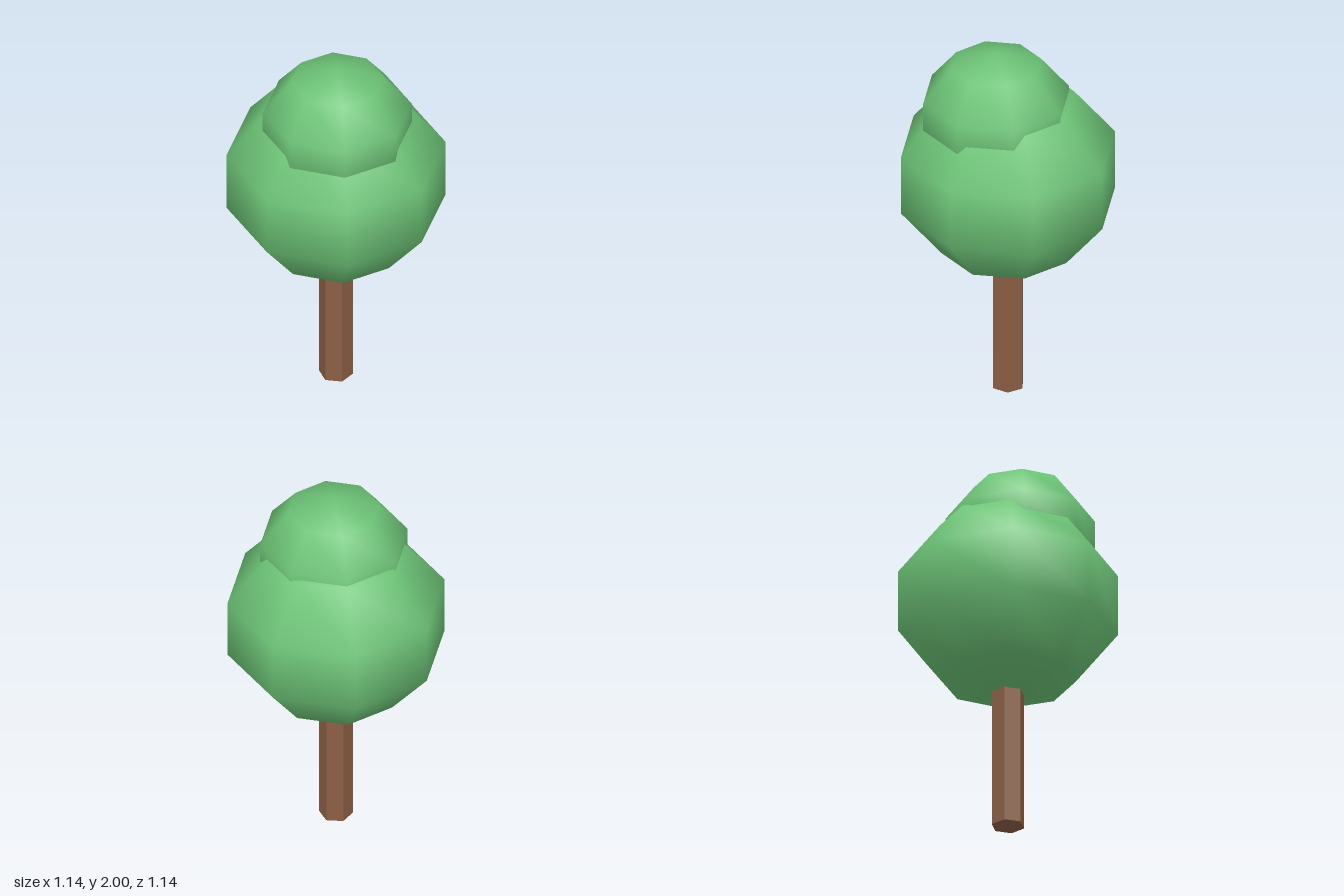
import * as THREE from 'three';

export function createModel() {
  const bark = new THREE.MeshStandardMaterial({ name: 'bark brown', color: 0x8b5f45, flatShading: true });
  const leaf = new THREE.MeshStandardMaterial({ name: 'leaf green', color: 0x6cc276 });
  const tree = new THREE.Group();
  tree.name = 'tree';

  // Straight hexagonal trunk, running up into the foliage
  const trunk = new THREE.Mesh(new THREE.CylinderGeometry(0.088, 0.088, 0.9, 6), bark);
  trunk.name = 'trunk';
  trunk.position.y = 0.45;
  tree.add(trunk);

  // Slightly squashed, smooth-shaded eight-sided ball
  const addFoliage = (name, radius, x, y, z) => {
    const ball = new THREE.Mesh(new THREE.SphereGeometry(radius, 8, 5), leaf);
    ball.name = name;
    ball.scale.y = 0.9;
    ball.position.set(x, y, z);
    tree.add(ball);
  };
  addFoliage('lowerFoliage', 0.6, 0, 1.272, 0);
  addFoliage('upperFoliage', 0.408, 0.045, 1.633, 0.045);

  return tree;
}
